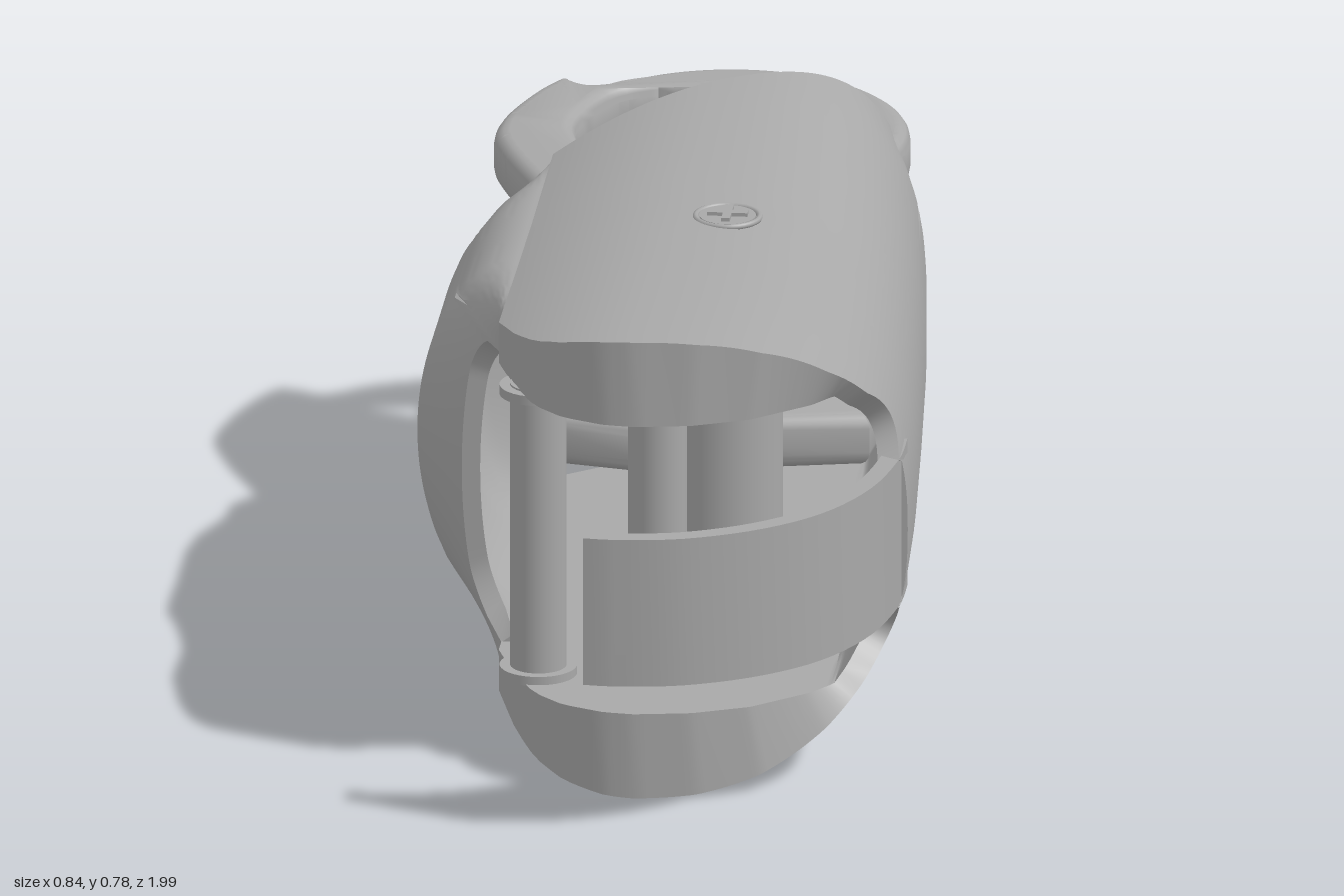
import * as THREE from 'three';
import { toCreasedNormals } from 'three/addons/utils/BufferGeometryUtils.js';

const MID = 0.393; // height of the symmetry plane
const grey = new THREE.MeshStandardMaterial({ color: 0xa8a8a8 });
grey.name = 'plain grey';

// Linear interpolation in a short list of [input, output] pairs
function table(t, rows) {
  if (t <= rows[0][0]) return rows[0][1];
  for (let i = 1; i < rows.length; i++) {
    const [a, p] = rows[i - 1], [b, q] = rows[i];
    if (t <= b) return p + (q - p) * (t - a) / (b - a);
  }
  return rows[rows.length - 1][1];
}

// Height scale along the length: slightly waisted in the middle
const tall = z => table(z, [[-0.5, 0.957], [-0.25, 0.945], [0, 0.937], [0.25, 0.95], [0.5, 0.972], [0.79, 1]]);
// Width scale of the bulging side
const wide = z => table(z, [[-0.77, 0.69], [-0.6, 0.785], [-0.3, 0.86], [0, 0.92], [0.3, 0.975], [0.5, 1]]);

// Closed thick sheet: outer(u, v) and inner(u, v) give the points, v runs to +z
function thickSheet(nu, nv, outer, inner) {
  const pos = [];
  const quad = (a, b, c, d) => { for (const p of [a, b, c, a, c, d]) pos.push(...p); };
  const sample = f => Array.from({ length: nu + 1 }, (_, u) => Array.from({ length: nv + 1 }, (_, v) => f(u, v / nv)));
  const O = sample(outer), I = sample(inner);
  for (let u = 0; u < nu; u++) {
    for (let v = 0; v < nv; v++) {
      quad(O[u][v], O[u][v + 1], O[u + 1][v + 1], O[u + 1][v]);
      quad(I[u][v], I[u + 1][v], I[u + 1][v + 1], I[u][v + 1]);
    }
    quad(O[u][nv], I[u][nv], I[u + 1][nv], O[u + 1][nv]);
    quad(O[u][0], O[u + 1][0], I[u + 1][0], I[u][0]);
  }
  for (let v = 0; v < nv; v++) {
    quad(O[0][v], I[0][v], I[0][v + 1], O[0][v + 1]);
    quad(O[nu][v], O[nu][v + 1], I[nu][v + 1], I[nu][v]);
  }
  const g = new THREE.BufferGeometry();
  g.setAttribute('position', new THREE.Float32BufferAttribute(pos, 3));
  return toCreasedNormals(g, 0.6);
}

// Extrude a plan outline (x, z) upward from y0 to y1
const plan = pts => pts.map(([x, z]) => new THREE.Vector2(x, -z));
function slab(shape, y0, y1, bevel = 0) {
  const g = new THREE.ExtrudeGeometry(shape, {
    depth: y1 - y0 - 2 * bevel, bevelEnabled: bevel > 0, bevelThickness: bevel, bevelSize: bevel,
    bevelOffset: -bevel, bevelSegments: 4, curveSegments: 32,
  });
  g.rotateX(-Math.PI / 2).translate(0, y0 + bevel, 0);
  return toCreasedNormals(g, 0.6);
}

// Upright strip of constant thickness following a plan curve
function ribbon(pts, thickness, y0, y1) {
  const curve = new THREE.SplineCurve(plan(pts)), a = [], b = [];
  for (let i = 0; i <= 32; i++) {
    const p = curve.getPoint(i / 32), t = curve.getTangent(i / 32);
    const n = new THREE.Vector2(-t.y, t.x).multiplyScalar(thickness / 2);
    a.push(p.clone().add(n));
    b.unshift(p.clone().sub(n));
  }
  return slab(new THREE.Shape([...a, ...b]), y0, y1);
}

// Housing section: shallow arc on top, superellipse round the side, mirrored below
function section(u) {
  const arc = x => 0.392 * (1 - (x / 0.606) ** 2);
  if (u < 14) { const x = -0.25 + 0.25 * u / 14; return [x, arc(x)]; }
  if (u > 134) { const x = -0.25 * (u - 134) / 14; return [x, -arc(x)]; }
  const a = Math.PI / 2 - Math.PI * (u - 14) / 120, e = 2 / 2.45;
  return [0.42 * Math.max(0, Math.cos(a)) ** e, 0.392 * Math.sign(Math.sin(a)) * Math.abs(Math.sin(a)) ** e];
}
function housing() {
  const front = [[-0.25, 0.5], [-0.21, 0.62], [-0.17, 0.7], [-0.12, 0.75], [-0.05, 0.78], [0, 0.785],
    [0.1, 0.77], [0.2, 0.73], [0.3, 0.65], [0.36, 0.57]];
  const along = (u, v) => {
    const [x, y] = section(u), h = Math.abs(y);
    let zf = table(x, front), zb = -0.53 - 0.796 * x * (x > 0 ? 0.72 : 1);
    if (x > 0.1 && h < 0.247) zf = h < 0.127 ? 0.54 : 0.51 + 0.06 * ((h - 0.187) / 0.06) ** 2;
    if (x > 0.1 && h < 0.15) { // rounded notch behind
      const k = Math.max(0, (h - 0.09) / 0.06);
      zb = -0.61 - 0.06 * (1 - Math.sqrt(1 - k * k));
    }
    return zb + (zf - zb) * v;
  };
  const outer = (u, v) => {
    const [x, y] = section(u), z = along(u, v);
    return [x > 0 ? x * wide(z) : x, MID + y * tall(z), z];
  };
  const inner = (u, v) => {
    const [x, y] = section(u), z = along(u, v);
    const iy = THREE.MathUtils.clamp(y * 0.91 * tall(z), -0.247, 0.247);
    return [x > 0 ? x * wide(z) * 0.915 : x, MID + iy, z];
  };
  return thickSheet(148, 26, outer, inner);
}

// Bulging cover on the open side, with a rounded opening in its front slope
function cover() {
  const swell = z => table(z, [[-0.33, 0], [-0.27, 0.45], [-0.2, 0.87], [-0.13, 1], [0.16, 1], [0.46, 0]]);
  const make = inset => (u, v) => {
    const a = Math.PI * (u / 64 - 0.5), y = 0.31 * Math.sin(a), h = Math.abs(y);
    const k = Math.min(1, Math.max(0, (h - 0.165) / 0.08));
    const zf = h > 0.245 ? 0.46 : 0.32 + 0.08 * (1 - Math.sqrt(1 - k * k));
    const z = -0.33 + (zf + 0.33) * v;
    const d = 0.17 * Math.cos(a) * swell(z);
    return [-0.25 - Math.max(d - inset, -0.02), MID + y * tall(z) * 1.03 * (1 - inset * 2), z];
  };
  return thickSheet(64, 30, make(0), make(0.03));
}

// Hinge plate with a hooked arm, kidney slot, pivot hole and optional screw hole
function hingePlate(y0, y1, screw) {
  const s = new THREE.Shape();
  s.moveTo(0.26, 0.38);
  s.lineTo(0.285, 0.66);
  s.absarc(0, 0.71, 0.29, -0.15, Math.PI * 0.74, false);
  s.splineThru(plan([[-0.25, -0.9], [-0.3, -0.925], [-0.345, -0.84], [-0.38, -0.7], [-0.36, -0.58], [-0.25, -0.33]]));
  s.lineTo(-0.1, 0.3);
  const slot = new THREE.SplineCurve(plan([[-0.14, -0.91], [-0.08, -0.88], [-0.07, -0.8], [-0.12, -0.71], [-0.11, -0.63],
    [-0.06, -0.58], [-0.07, -0.51], [-0.13, -0.5], [-0.2, -0.56], [-0.25, -0.68], [-0.24, -0.78], [-0.2, -0.87], [-0.14, -0.91]]));
  s.holes.push(new THREE.Path(slot.getPoints(48).slice(0, -1)));
  s.holes.push(new THREE.Path().absarc(0, 0.71, 0.055, 0, Math.PI * 2, true));
  if (screw) s.holes.push(new THREE.Path().absarc(0.11, 0.84, 0.055, 0, Math.PI * 2, true));
  return slab(s, y0, y1, 0.025);
}

export function createModel() {
  const model = new THREE.Group();
  const add = (name, geometry, parent = model) => {
    const m = new THREE.Mesh(geometry, grey);
    m.name = name;
    parent.add(m);
    return m;
  };
  const post = (name, x, z, r, y0, y1) =>
    add(name, new THREE.CylinderGeometry(r, r, y1 - y0, 32).translate(x, (y0 + y1) / 2, z));

  add('housing', housing());
  add('sideCover', cover());

  // Curled strip reaching round the front
  add('frontBand', ribbon([[0.395, 0.46], [0.392, 0.56], [0.362, 0.7], [0.3, 0.82], [0.21, 0.905], [0.1, 0.96],
    [0, 0.977], [-0.06, 0.975]], 0.032, 0.268, 0.52));

  // Posts between the upper and lower walls
  post('frontPost', 0, 0.42, 0.048, 0.14, 0.645);
  post('screwPost', 0.08, 0.1, 0.09, 0.14, 0.645);
  post('frontPin', -0.175, 0.6, 0.046, 0.14, 0.645);
  for (const y of [0.144, 0.626]) post('pinFlange', -0.175, 0.6, 0.063, y, y + 0.016);

  // Hinge
  add('upperHingePlate', hingePlate(0.535, 0.625, true));
  add('lowerHingePlate', hingePlate(0.165, 0.255, false));
  const ring = new THREE.Shape().absarc(0, 0.71, 0.1, 0, Math.PI * 2, false);
  ring.holes.push(new THREE.Path().absarc(0, 0.71, 0.05, 0, Math.PI * 2, true));
  add('upperPivotRing', slab(ring, 0.56, 0.642, 0.012));
  add('lowerPivotRing', slab(ring, 0.148, 0.23, 0.012));
  post('hingePostWide', 0.11, -0.84, 0.086, 0.4, 0.545);
  post('hingePostNarrow', 0.11, -0.84, 0.074, 0.24, 0.41);
  add('hingeStop', new THREE.BoxGeometry(0.1, 0.22, 0.11).translate(0.15, 0.35, -0.66));
  add('hookWall', ribbon([[-0.29, -0.9], [-0.33, -0.8], [-0.348, -0.7], [-0.325, -0.58], [-0.25, -0.4]], 0.05, 0.2, 0.46));

  // Cross-head screws
  for (const [x, y, z] of [[0.08, 0.754, 0.1], [0.11, 0.59, -0.84]]) {
    const screw = new THREE.Group();
    screw.name = 'screw';
    screw.position.set(x, y, z);
    add('screwHead', new THREE.CylinderGeometry(0.046, 0.046, 0.02, 32), screw);
    add('screwRim', new THREE.TorusGeometry(0.052, 0.005, 8, 40).rotateX(Math.PI / 2).translate(0, 0.007, 0), screw);
    add('slotAcross', new THREE.BoxGeometry(0.066, 0.008, 0.014).translate(0, 0.012, 0), screw);
    add('slotAlong', new THREE.BoxGeometry(0.014, 0.008, 0.066).translate(0, 0.012, 0), screw);
    model.add(screw);
  }
  return model;
}
